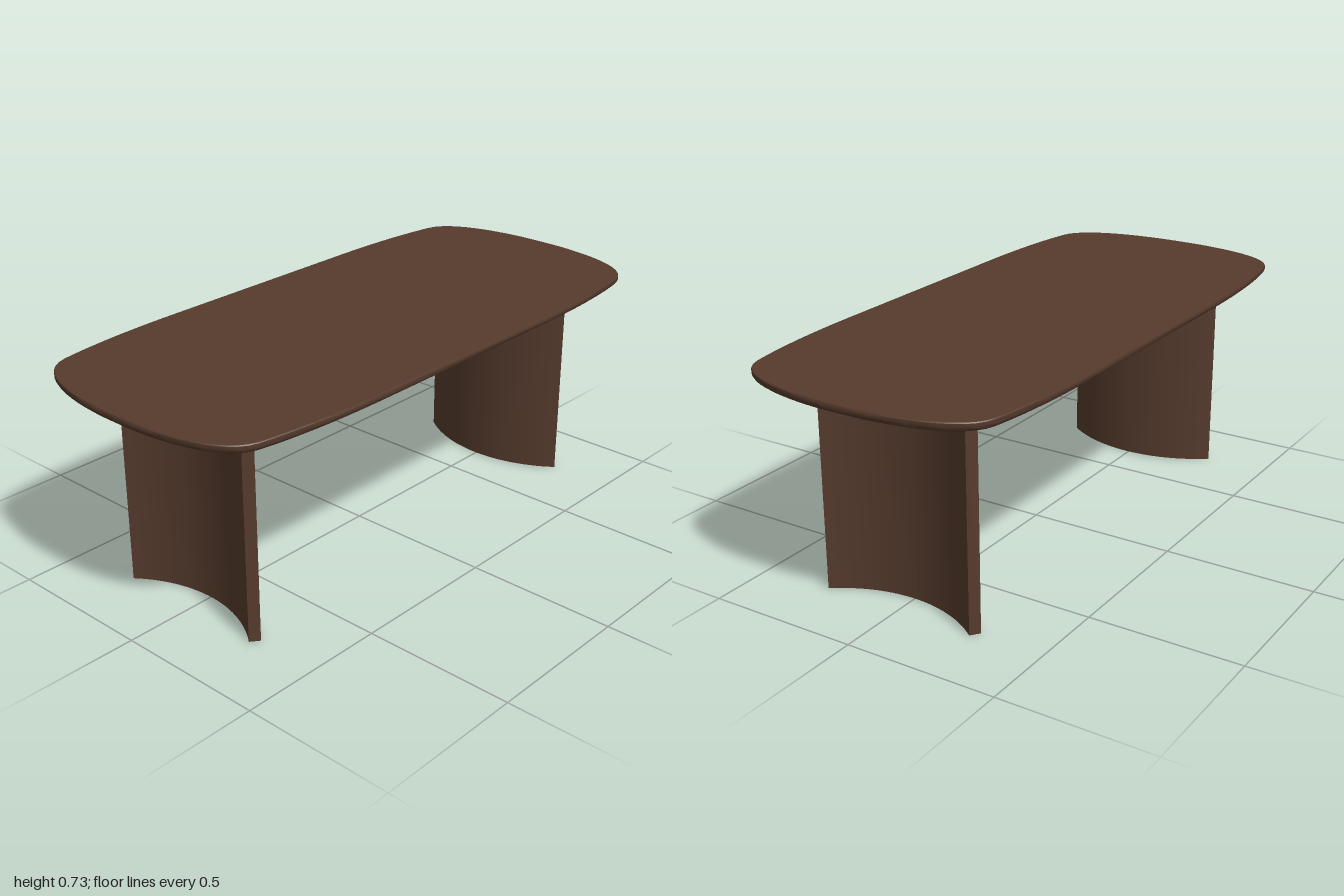
import * as THREE from 'three';
import { toCreasedNormals } from 'three/addons/utils/BufferGeometryUtils.js';

// Soft rounded-rectangle outline, running from +x through +z
function outline() {
  const path = new THREE.Path();
  path.moveTo(1, 0);
  path.lineTo(1, 0.04);
  path.bezierCurveTo(1, 0.12, 0.98, 0.39, 0.85, 0.415);
  path.bezierCurveTo(0.72, 0.44, 0.55, 0.45, 0.4, 0.45);
  path.lineTo(0, 0.45);
  const q = path.getPoints(14);
  const half = [...q, ...q.slice(0, -1).reverse().map(p => new THREE.Vector2(-p.x, p.y))];
  return [...half, ...half.slice(1, -1).reverse().map(p => new THREE.Vector2(p.x, -p.y))];
}

// Slab from stacked outlines: [inset, y] rows from top to bottom
function slabGeometry(rows) {
  const pts = outline(), n = pts.length, pos = [], idx = [];
  for (const [inset, y] of rows)
    for (const p of pts) pos.push(p.x * (1 - inset), y, p.y * (1 - inset / 0.45));
  for (let r = 0; r < rows.length - 1; r++)
    for (let i = 0; i < n; i++) {
      const a = r * n + i, b = r * n + (i + 1) % n;
      idx.push(a, b, a + n, b, b + n, a + n);
    }
  const top = pos.length / 3, bottom = top + 1, last = (rows.length - 1) * n;
  pos.push(0, rows[0][1], 0, 0, rows[rows.length - 1][1], 0);
  for (let i = 0; i < n; i++) {
    const j = (i + 1) % n;
    idx.push(top, j, i, bottom, last + i, last + j);
  }
  const g = new THREE.BufferGeometry();
  g.setAttribute('position', new THREE.Float32BufferAttribute(pos, 3));
  g.setIndex(idx);
  return toCreasedNormals(g, 0.6);
}

// Curved panel leg on the +x side, bowing towards the middle
function legGeometry(height) {
  const cx = 1.11, inner = 0.426, outer = 0.462, a = 0.662;
  const s = new THREE.Shape();
  s.absarc(cx, 0, outer, Math.PI - a, Math.PI + a, false);
  s.absarc(cx, 0, inner, Math.PI + a, Math.PI - a, true);
  s.closePath();
  const g = new THREE.ExtrudeGeometry(s, { depth: height, bevelEnabled: false, curveSegments: 32 });
  g.rotateX(-Math.PI / 2);
  return toCreasedNormals(g, 0.5);
}

export function createModel() {
  const wood = new THREE.MeshStandardMaterial({ color: 0x563b2d });
  wood.name = 'darkWood';
  const metal = new THREE.MeshStandardMaterial({ color: 0x2a2a2a });
  metal.name = 'blackMetal';

  const table = new THREE.Group();
  table.name = 'diningTable';
  const add = (name, geometry, material, x = 0, y = 0, z = 0) => {
    const m = new THREE.Mesh(geometry, material);
    m.name = name;
    m.position.set(x, y, z);
    table.add(m);
    return m;
  };
  const box = (name, material, w, h, d, x, y, z) =>
    add(name, new THREE.BoxGeometry(w, h, d), material, x, y, z);

  // Top with a rounded lower edge
  add('tableTop', slabGeometry([
    [0.002, 0.733], [0, 0.73], [0, 0.718], [0.003, 0.711], [0.01, 0.705], [0.022, 0.703],
  ]), wood);

  // Legs, mounting plates
  const leg = legGeometry(0.7);
  for (const side of [1, -1]) {
    const label = side > 0 ? 'left' : 'right';
    add(label + 'Leg', leg, wood).rotation.y = side > 0 ? 0 : Math.PI;
    box(label + 'MountingPlate', metal, 0.14, 0.004, 0.74, side * 0.72, 0.701, 0);
  }

  // Thin crossbars below the top
  for (const x of [-0.44, 0, 0.44]) box('crossbar', metal, 0.05, 0.004, 0.74, x, 0.701, 0);

  // Centre beam, side rails and their end brackets
  box('centreBeam', wood, 1.3, 0.077, 0.06, 0, 0.6625, 0);
  for (const z of [-0.25, 0.25]) {
    box('sideRail', wood, 1.3, 0.035, 0.03, 0, 0.6825, z);
    for (const x of [-0.665, 0.665]) box('railBracket', metal, 0.03, 0.033, 0.03, x, 0.6835, z);
  }
  return table;
}
